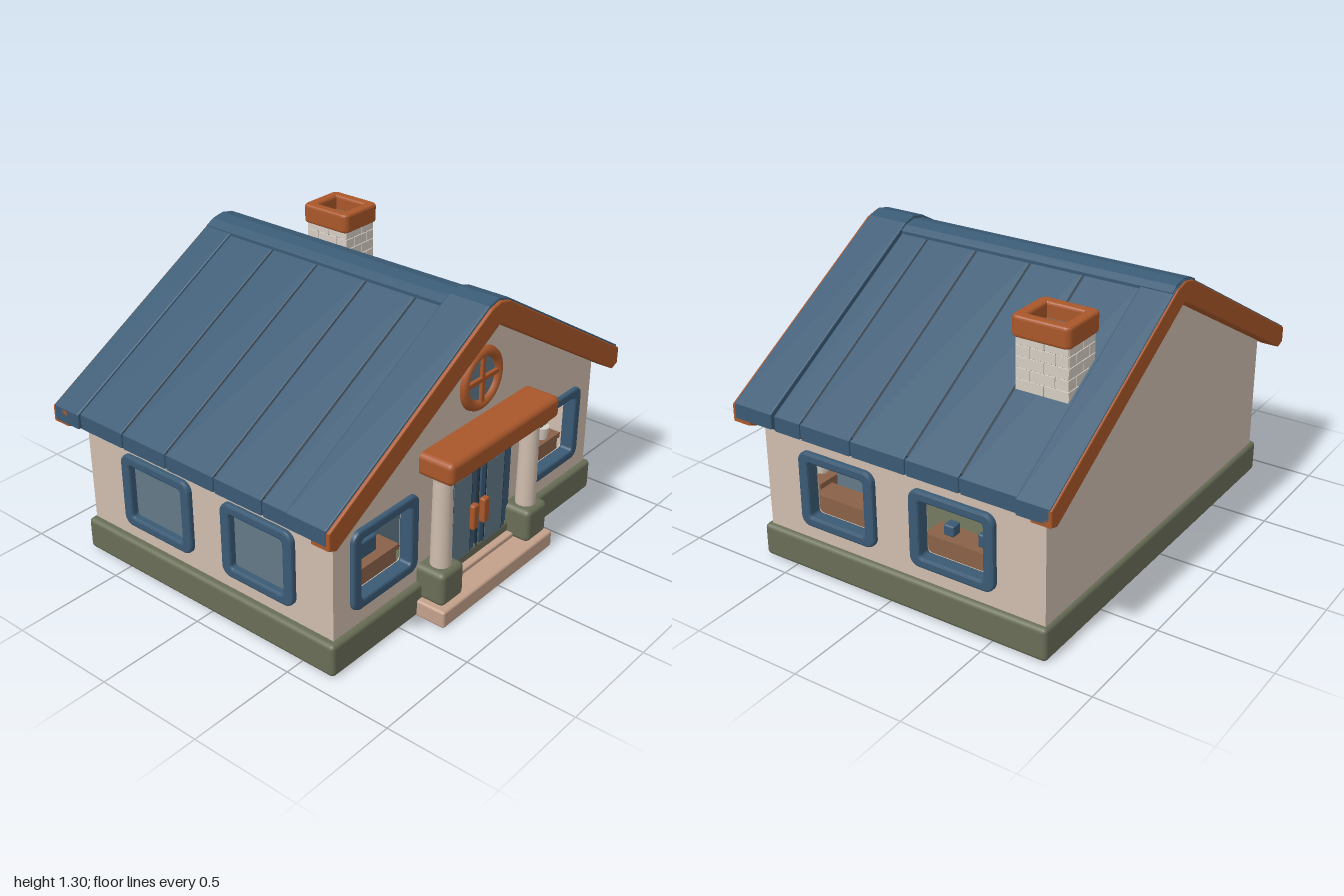
import * as THREE from 'three';
import { RoundedBoxGeometry } from 'three/addons/geometries/RoundedBoxGeometry.js';

const paint = (name, color, side = THREE.FrontSide) => {
  const m = new THREE.MeshStandardMaterial({ color, side });
  m.name = name;
  return m;
};

export function createModel() {
  const blue = paint('roof blue', 0x3a5a74), orange = paint('burnt orange', 0xa9572a);
  const cream = paint('cream plaster', 0xcfbdae), stone = paint('mossy stone', 0x686d56);
  const brickMat = paint('pale brick', 0xd6cdc3), glass = paint('window glass', 0x627986);
  const stepMat = paint('step clay', 0xc3a08a), wood = paint('brown wood', 0x8a6148);
  const leafMat = paint('leaf green', 0x737650), dark = paint('dark joints', 0x22303a);

  const house = new THREE.Group();
  house.name = 'house';
  const add = (name, geo, mat, parent = house) => {
    const m = new THREE.Mesh(geo, mat);
    m.name = name;
    parent.add(m);
    return m;
  };
  const box = (name, mat, x0, x1, y0, y1, z0, z1, r = 0, parent = house) => {
    const s = [x1 - x0, y1 - y0, z1 - z0];
    const geo = r ? new RoundedBoxGeometry(...s, 2, r) : new THREE.BoxGeometry(...s);
    const m = add(name, geo, mat, parent);
    m.position.set((x0 + x1) / 2, (y0 + y1) / 2, (z0 + z1) / 2);
    return m;
  };
  const poly = (pts) => new THREE.Shape(pts.map((p) => new THREE.Vector2(...p)));
  const roundRect = (Type, cx, cy, w, h, r) => {
    const s = new Type(), x = w / 2 - r, y = h / 2 - r;
    s.absarc(cx + x, cy + y, r, 0, Math.PI / 2);
    s.absarc(cx - x, cy + y, r, Math.PI / 2, Math.PI);
    s.absarc(cx - x, cy - y, r, Math.PI, Math.PI * 1.5);
    s.absarc(cx + x, cy - y, r, Math.PI * 1.5, Math.PI * 2);
    s.closePath();
    return s;
  };
  const plain = (shape, depth) =>
    new THREE.ExtrudeGeometry(shape, { depth, bevelEnabled: false, curveSegments: 5 });

  // Plinth and porch
  box('plinth', stone, -0.92, 0.93, 0, 0.15, -0.752, 0.667, 0.02);
  box('porchStep', stepMat, -0.395, 0.4, 0, 0.08, 0.6, 0.805, 0.012);
  box('doorSill', stepMat, -0.225, 0.25, 0.07, 0.1, 0.6, 0.7, 0.008);
  for (const x of [-0.292, 0.32]) {
    box('columnFoot', stone, x - 0.075, x + 0.075, 0.07, 0.23, 0.62, 0.775, 0.025);
    add('column', new THREE.CylinderGeometry(0.041, 0.045, 0.43, 20), cream).position.set(x, 0.44, 0.705);
    add('columnCap', new THREE.CylinderGeometry(0.05, 0.046, 0.025, 20), cream).position.set(x, 0.647, 0.705);
  }
  box('porchBeam', orange, -0.37, 0.392, 0.655, 0.757, 0.62, 0.802, 0.025);

  // Roof line: height of the outer slope at x
  const ridge = 0.03;
  const slope = (x) => 1.32 - (x < ridge ? 0.563 : 0.602) * Math.abs(x - ridge);
  const chevron = (name, mat, xe, lift, t, z0, z1, bevel = 0.006) => {
    const top = (x) => [x, slope(x) + lift - bevel];
    const low = (x, d) => [x, slope(x) + lift - d + bevel];
    const e = xe - bevel;
    const shape = poly([top(-e), top(-0.03), [ridge, 1.3 + lift - bevel], top(0.09), top(e),
      low(e, t * 0.7), low(e - 0.035, t), [ridge, 1.32 + lift - t + bevel], low(-e + 0.035, t), low(-e, t * 0.7)]);
    const geo = new THREE.ExtrudeGeometry(shape, {
      depth: z1 - z0 - 2 * bevel, bevelEnabled: bevel > 0, bevelSize: bevel, bevelThickness: bevel, bevelSegments: 2,
    });
    add(name, geo, mat).position.z = z0 + bevel;
  };
  chevron('roofCore', blue, 0.975, -0.035, 0.09, -0.79, 0.7);
  chevron('rearRoofBand', blue, 0.995, -0.016, 0.1, -0.805, -0.655);
  chevron('frontRoofBand', blue, 1, 0, 0.1, 0.51, 0.708);
  const seams = [-0.66, -0.4, -0.148, 0.12, 0.375, 0.515];
  for (let i = 0; i < 5; i++) {
    chevron('roofPanel', blue, 0.982, -0.024, 0.1, seams[i] + 0.004, seams[i + 1] - 0.004, 0.004);
    if (i) chevron('roofSeam', dark, 0.965, -0.026, 0.05, seams[i] - 0.006, seams[i] + 0.006, 0);
  }
  chevron('frontBargeboard', orange, 0.997, -0.01, 0.115, 0.63, 0.722);
  chevron('rearBargeboard', orange, 0.995, -0.022, 0.105, -0.812, -0.72);
  // Ridge cap folded over the peak
  const cap = poly([[-0.07, slope(-0.07) - 0.05], [-0.07, slope(-0.07) - 0.01], [-0.03, 1.275], [ridge, 1.287],
    [0.09, 1.275], [0.12, slope(0.12) - 0.01], [0.12, slope(0.12) - 0.05], [ridge, 1.24]].reverse());
  add('ridgeCap', plain(cap, 1.48), blue).position.z = -0.8;

  // Gable walls
  const XL = -0.885, XR = 0.905, ZF = 0.64, ZB = -0.735;
  const gable = () => poly([[XL, 0.14], [XR, 0.14], [XR, slope(XR) - 0.07], [ridge, 1.25], [XL, slope(XL) - 0.07]]);
  const frontWall = gable();
  const frontWindows = [[-0.583, 0.405], [0.598, 0.42]];
  for (const [x, w] of frontWindows)
    frontWall.holes.push(roundRect(THREE.Path, x, 0.41, w - 0.08, 0.29, 0.02));
  add('frontWall', plain(frontWall, 0.05), cream).position.z = ZF - 0.05;
  add('backWall', plain(gable(), 0.05), cream).position.z = ZB;

  // Window frame facing +z, centred on its own origin
  const frame = (w, h, parent, x, y, z) => {
    const b = 0.01;
    const s = roundRect(THREE.Shape, 0, 0, w - 2 * b, h - 2 * b, 0.035);
    s.holes.push(roundRect(THREE.Path, 0, 0, w - 0.1 + 2 * b, h - 0.09 + 2 * b, 0.025));
    const geo = new THREE.ExtrudeGeometry(s, {
      depth: 0.045, bevelEnabled: true, bevelSize: b, bevelThickness: b, bevelSegments: 2, curveSegments: 5,
    });
    add('windowFrame', geo, blue, parent).position.set(x, y, z - 0.035);
  };
  for (const [x, w] of frontWindows) frame(w, 0.365, house, x, 0.41, ZF);

  // Side walls, each with two windows
  const sideWindows = [[0.258, 0.385], [-0.312, 0.403]];
  for (const s of [1, -1]) {
    const side = new THREE.Group();
    side.name = s > 0 ? 'leftSide' : 'rightSide';
    side.rotation.y = (s * Math.PI) / 2;
    side.position.x = s > 0 ? XR : XL;
    house.add(side);
    const ends = [-s * ZF, -s * ZB].sort((a, b) => a - b);
    const wall = poly([[ends[0], 0.14], [ends[1], 0.14], [ends[1], 0.72], [ends[0], 0.72]]);
    for (const [z, w] of sideWindows) {
      wall.holes.push(roundRect(THREE.Path, -s * z, 0.393, w - 0.08, 0.275, 0.02));
      frame(w, 0.345, side, -s * z, 0.393, 0.005);
      if (s < 0)
        add('windowPane', new THREE.PlaneGeometry(w - 0.06, 0.3), glass, side).position.set(z, 0.393, -0.01);
    }
    add('sideWall', plain(wall, 0.05), cream, side).position.z = -0.05;
  }

  // Room partitions behind the windows
  add('frontPartition', new THREE.PlaneGeometry(1.7, 0.56), glass).position.set(0.01, 0.42, 0.44);
  const partition = add('sidePartition', new THREE.PlaneGeometry(0.4, 0.56), glass);
  partition.rotation.y = Math.PI / 2;
  partition.position.set(0.7, 0.42, 0.245);

  // Desks and things standing on them
  const desk = (x0, x1, z0, z1) => {
    box('deskTop', wood, x0, x1, 0.305, 0.33, z0, z1);
    box('deskFront', wood, x0 + 0.008, x1 - 0.008, 0.24, 0.298, z0 + 0.008, z1 - 0.008);
    box('deskJoint', dark, x0 + 0.012, x1 - 0.012, 0.298, 0.305, z0 + 0.012, z1 - 0.012);
  };
  desk(-0.77, -0.41, 0.47, 0.58);
  desk(0.42, 0.78, 0.47, 0.58);
  desk(0.74, 0.85, 0.08, 0.44);
  desk(0.74, 0.85, -0.49, -0.13);
  box('deskScreen', blue, -0.61, -0.5, 0.33, 0.41, 0.5, 0.54, 0.01);
  box('deskScreen', blue, 0.485, 0.585, 0.33, 0.41, 0.5, 0.54, 0.01);
  box('deskScreen', blue, 0.77, 0.82, 0.33, 0.38, -0.25, -0.2, 0.008);
  box('deskScreen', blue, 0.77, 0.82, 0.33, 0.39, -0.425, -0.365, 0.008);
  const plant = (x, size) => {
    const g = new THREE.Group();
    g.name = 'pottedPlant';
    g.position.set(x, 0.33, 0.54);
    g.scale.setScalar(size);
    house.add(g);
    add('pot', new THREE.CylinderGeometry(0.035, 0.026, 0.06, 12), brickMat, g).position.y = 0.03;
    for (let i = -2; i <= 2; i++) {
      const leaf = new THREE.SphereGeometry(1, 8, 6).scale(0.014, 0.048, 0.008).translate(0, 0.048, 0);
      const m = add('leaf', leaf, leafMat, g);
      m.position.y = 0.05;
      m.rotation.set((i % 2) * 0.25, 0, i * 0.5);
    }
  };
  plant(0.685, 1);
  plant(-0.695, 0.6);

  // Double door
  box('doorFrame', blue, -0.222, 0.268, 0.1, 0.588, 0.6, 0.655, 0.01);
  for (const s of [-1, 1]) {
    const x = 0.016 + s * 0.116;
    box('doorLeaf', blue, x - 0.1, x + 0.1, 0.105, 0.565, 0.62, 0.664, 0.008);
    box('doorGlassEdge', dark, x - 0.068, x + 0.068, 0.128, 0.532, 0.662, 0.666);
    box('doorGlass', glass, x - 0.062, x + 0.062, 0.134, 0.526, 0.662, 0.668);
    const h = 0.012 + s * 0.037;
    box('doorHandle', orange, h - 0.02, h + 0.02, 0.25, 0.37, 0.66, 0.69, 0.009);
  }
  box('doorGap', dark, 0.013, 0.019, 0.11, 0.56, 0.65, 0.666);

  // Round gable window
  const round = new THREE.Group();
  round.name = 'roundWindow';
  round.position.set(0.027, 0.93, ZF);
  house.add(round);
  add('roundRim', new THREE.TorusGeometry(0.117, 0.024, 10, 36), orange, round);
  add('roundPane', new THREE.CircleGeometry(0.115, 32), glass, round).position.z = 0.004;
  box('crossBar', orange, -0.11, 0.11, -0.012, 0.012, 0, 0.018, 0.005, round);
  box('crossPost', orange, -0.012, 0.012, -0.11, 0.11, 0, 0.018, 0.005, round);

  // Chimney: mortar core, brick facing on four sides, hollow cap
  const chimney = new THREE.Group();
  chimney.name = 'chimney';
  chimney.position.set(0.522, 0, -0.525);
  house.add(chimney);
  const hw = 0.09, hd = 0.113;
  box('mortarCore', dark, -hw, hw, 0.85, 1.18, -hd, hd, 0, chimney);
  for (let f = 0; f < 4; f++) {
    const face = new THREE.Group();
    face.name = 'brickFace';
    face.rotation.y = (f * Math.PI) / 2;
    chimney.add(face);
    const half = (f % 2 ? hd : hw) + 0.005, out = f % 2 ? hw : hd;
    for (let r = 0; r < 7; r++) {
      const y = 0.85 + r * 0.047;
      const cuts = r % 2 ? [-1, -0.45, 0.5, 1] : [-1, 0.08, 1];
      for (let i = 0; i + 1 < cuts.length; i++)
        box('brick', brickMat, cuts[i] * half + 0.0015, cuts[i + 1] * half - 0.0015, y, y + 0.0435,
          out - 0.003, out + 0.006, 0, face);
    }
  }
  const capShape = roundRect(THREE.Shape, 0, 0, 0.206, 0.236, 0.015);
  capShape.holes.push(roundRect(THREE.Path, 0, 0, 0.158, 0.188, 0.012));
  const chimneyCap = add('chimneyCap', new THREE.ExtrudeGeometry(capShape, {
    depth: 0.064, bevelEnabled: true, bevelSize: 0.013, bevelThickness: 0.013, bevelSegments: 3, curveSegments: 5,
  }), orange, chimney);
  chimneyCap.rotation.x = -Math.PI / 2;
  chimneyCap.position.y = 1.178;
  box('flueFloor', wood, -0.08, 0.08, 1.18, 1.19, -0.095, 0.095, 0, chimney);

  return house;
}
